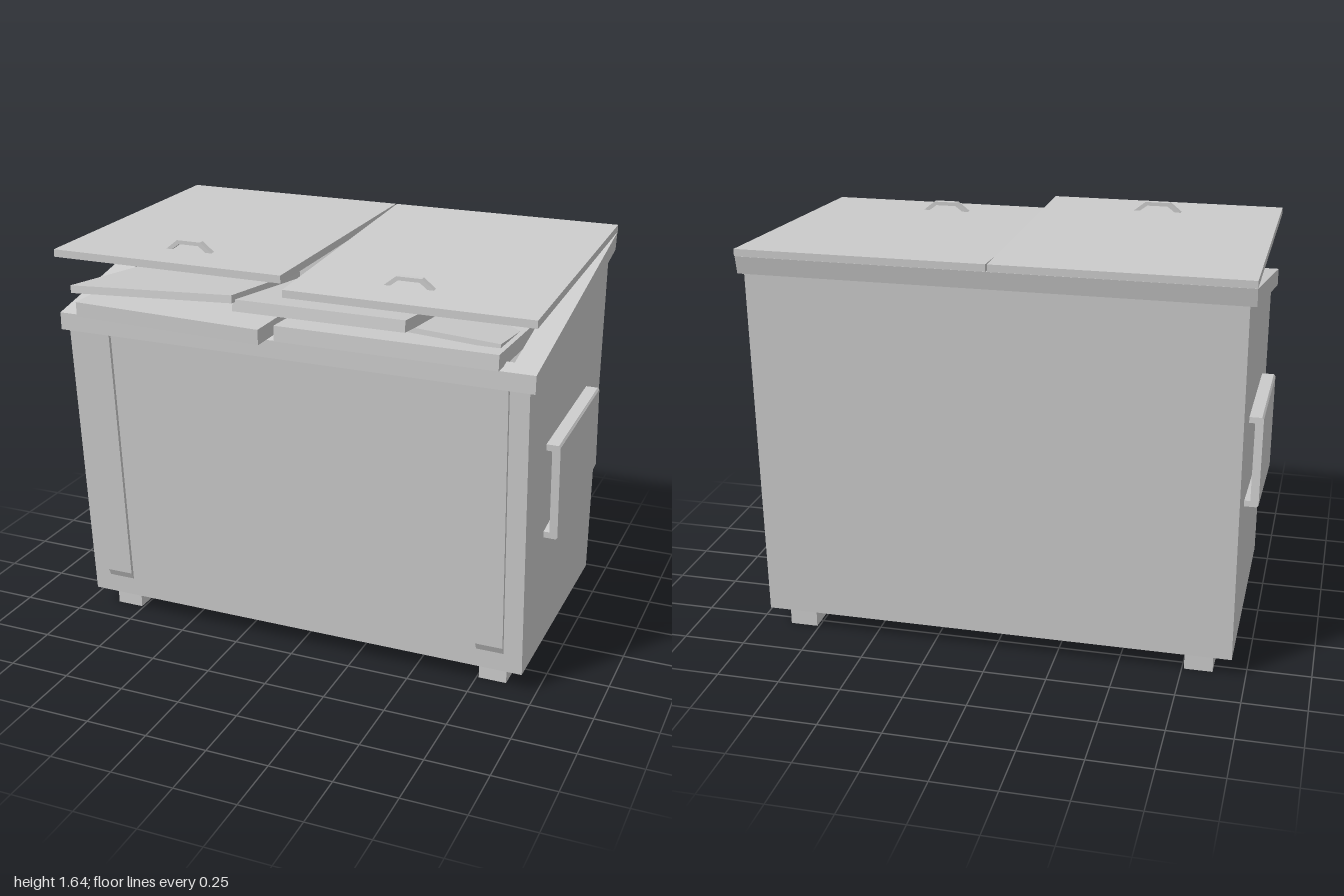
import * as THREE from 'three';

const grey = new THREE.MeshStandardMaterial({ color: 0xcccccc, flatShading: true, side: THREE.DoubleSide });
const lerp = THREE.MathUtils.lerp;
const rimTop = z => 1.449 - 0.205 * z; // sloped plane of the bin mouth

function add(parent, name, geometry) {
  const mesh = new THREE.Mesh(geometry, grey);
  mesh.name = name;
  parent.add(mesh);
  return mesh;
}

// Moves every vertex by a rule
function warp(geometry, rule) {
  const p = geometry.attributes.position, v = new THREE.Vector3();
  for (let i = 0; i < p.count; i++) {
    rule(v.fromBufferAttribute(p, i));
    p.setXYZ(i, v.x, v.y, v.z);
  }
  geometry.computeVertexNormals();
  return geometry;
}

const rectPoints = (x, z0, z1) => [[-x, -z1], [x, -z1], [x, -z0], [-x, -z0]].map(a => new THREE.Vector2(...a));

// Rectangular ring lying in the xz plane, one unit tall
function ring(outer, inner) {
  const shape = new THREE.Shape(rectPoints(...outer));
  shape.holes.push(new THREE.Path(rectPoints(...inner).reverse()));
  return new THREE.ExtrudeGeometry(shape, { depth: 1, bevelEnabled: false }).rotateX(-Math.PI / 2);
}

// Profile given as (z, y) points, extruded across x from x0 to x1
function sideProfile(points, x0, x1) {
  const shape = new THREE.Shape(points.map(([z, y]) => new THREE.Vector2(-z, y)));
  return new THREE.ExtrudeGeometry(shape, { depth: x1 - x0, bevelEnabled: false })
    .rotateY(Math.PI / 2).translate(x0, 0, 0);
}

function addLid(parent, name, x0, x1, frontY, handleX) {
  const lid = new THREE.Group();
  lid.name = name;
  parent.add(lid);
  add(lid, 'lidPanel', sideProfile([[0.545, frontY], [0.545, frontY + 0.03], [-0.645, 1.61], [-0.645, 1.582]], x0, x1));
  // Arched grab handle
  const arch = [[-0.1, 0], [-0.05, 0.04], [0.05, 0.04], [0.1, 0], [0.075, 0], [0.042, 0.025], [-0.042, 0.025], [-0.075, 0]];
  const shape = new THREE.Shape(arch.map(a => new THREE.Vector2(...a)));
  const handle = add(lid, 'lidHandle', new THREE.ExtrudeGeometry(shape, { depth: 0.025, bevelEnabled: false }));
  handle.position.set(handleX, lerp(frontY + 0.03, 1.61, 0.155) - 0.002, 0.347);
}

export function createModel() {
  const model = new THREE.Group();
  model.name = 'wasteContainer';

  // Hollow tapered body; y runs from floor (0) to the sloped mouth (1)
  add(model, 'body', warp(ring([0.945, 0, 1], [0.915, 0.03, 0.97]), v => {
    const t = v.y;
    v.z = lerp(lerp(-0.58, -0.62, t), lerp(0.43, 0.51, t), v.z);
    v.y = lerp(0.08, rimTop(v.z) - 0.05, t);
  }));
  add(model, 'floor', new THREE.BoxGeometry(1.88, 0.03, 1)).position.set(0, 0.0955, -0.075);

  // Rim around the sloped mouth
  add(model, 'rim', warp(ring([0.97, -0.64, 0.53], [0.87, -0.58, 0.46]), v => {
    const t = v.y;
    v.y = rimTop(v.z) - 0.07 * (1 - t);
    if (v.z < -0.6) v.z += 0.015 * (1 - t);
  }));

  for (const side of [-1, 1]) {
    const label = side > 0 ? 'left' : 'right';
    // Skid below and stiffening rib on the front
    add(model, label + 'Skid', new THREE.BoxGeometry(0.112, 0.08, 0.93)).position.set(side * 0.815, 0.04, -0.083);
    add(model, label + 'FrontRib', sideProfile(
      [[0.43, 0.16], [0.437, 0.16], [0.452, 0.19], [0.523, 1.28], [0.49, 1.28]], side * 0.815 - 0.055, side * 0.815 + 0.055));

    // Lifting sleeve, a skewed channel open to front and back
    const channel = [[0.94, 0], [0.993, 0], [1, 0.02], [1, 0.98], [0.993, 1], [0.94, 1],
      [0.94, 0.935], [0.968, 0.935], [0.968, 0.065], [0.94, 0.065]];
    const outline = channel.map(([x, y]) => new THREE.Vector2(side * x, y));
    const sleeve = new THREE.ExtrudeGeometry(new THREE.Shape(outline), { depth: 1, bevelEnabled: false });
    add(model, label + 'LiftSleeve', warp(sleeve, v => {
      const t = v.y, s = v.z;
      v.y = lerp(lerp(0.645, 0.57, s), lerp(1.0, 0.97, s), t);
      v.z = lerp(lerp(-0.39, 0.21, s), lerp(-0.36, 0.24, s), t);
    }));
  }

  addLid(model, 'rightLid', -0.97, -0.003, 1.57, -0.472);
  addLid(model, 'leftLid', 0.003, 0.97, 1.517, 0.433);

  // Loose boards sticking out of the mouth: front-centre position, size, tilt
  const boards = [
    [[-0.52, 1.487, 0.605], [0.69, 0.03, 0.62], [-0.11, 0, 0.055]],
    [[-0.46, 1.38, 0.605], [0.8, 0.06, 0.45], [0.03, -0.05, 0]],
    [[0.405, 1.378, 0.555], [0.87, 0.06, 0.45], [-0.04, 0, 0]],
    [[0.155, 1.475, 0.575], [0.68, 0.045, 0.55], [-0.12, 0.01, 0]],
    [[0.56, 1.425, 0.47], [0.52, 0.02, 0.35], [-0.1, 0, -0.06]],
  ];
  const debris = new THREE.Group();
  debris.name = 'looseBoards';
  model.add(debris);
  for (const [position, size, tilt] of boards) {
    const board = add(debris, 'board', new THREE.BoxGeometry(...size).translate(0, 0, -size[2] / 2));
    board.position.set(...position);
    board.rotation.set(...tilt);
  }
  return model;
}
